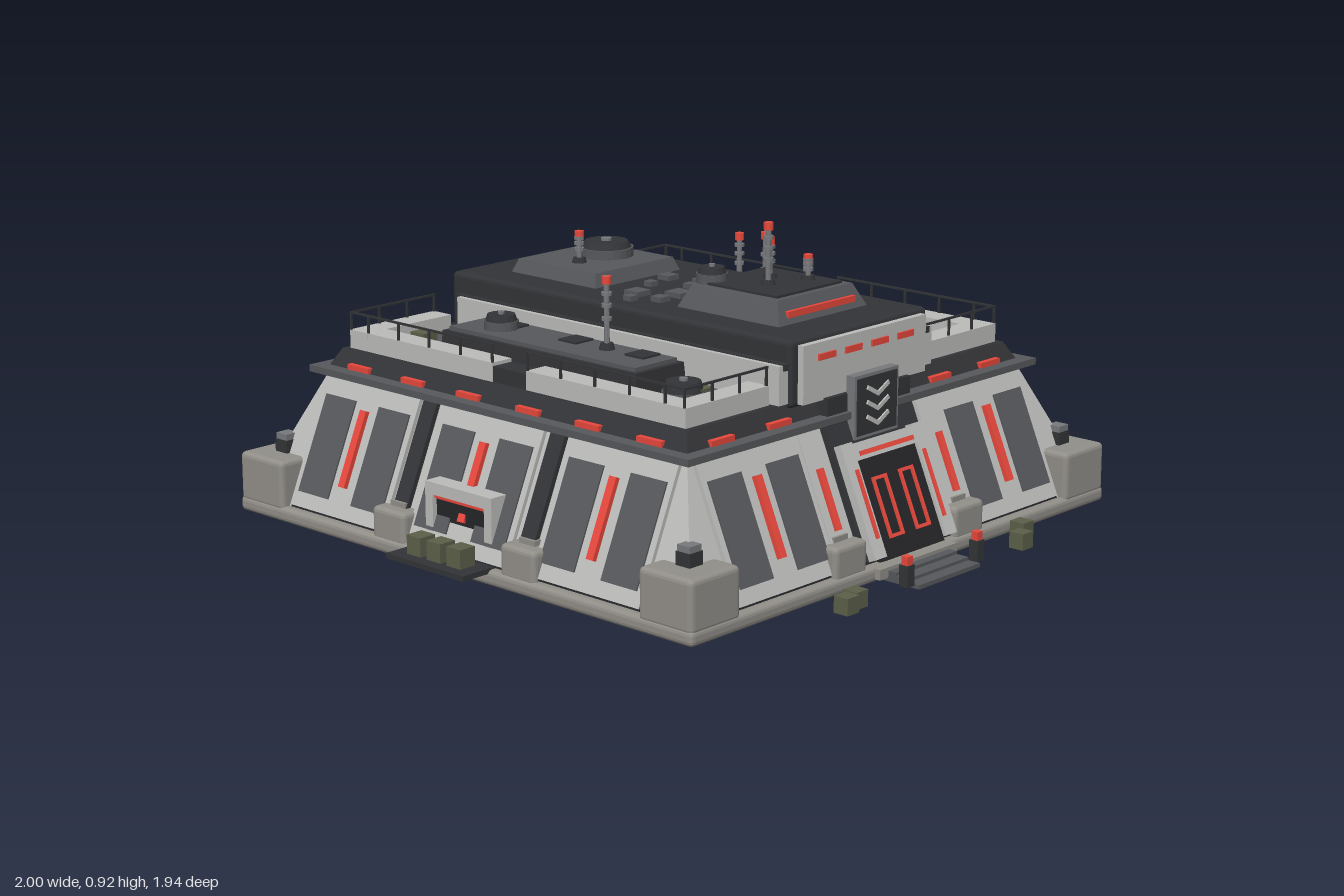
import * as THREE from 'three';
import { RoundedBoxGeometry } from 'three/addons/geometries/RoundedBoxGeometry.js';

const mat = (color) => new THREE.MeshStandardMaterial({ color, flatShading: true });
const white = mat(0xbcbcba), stone = mat(0x928f89), dark = mat(0x333437), black = mat(0x242528);
const mid = mat(0x56585c), red = mat(0xe8483c), olive = mat(0x5c6049), metal = mat(0x77797c);
const CZ = -0.065; // centre of the building in z

function add(parent, name, geo, material, x, y, z) {
  const m = new THREE.Mesh(geo, material);
  m.name = name;
  m.position.set(x, y, z);
  parent.add(m);
  return m;
}
// box given by its centre in x and z and its bottom in y
const box = (p, name, m, w, h, d, x, y, z) => add(p, name, new THREE.BoxGeometry(w, h, d), m, x, y + h / 2, z);
const soft = (p, name, m, w, h, d, x, y, z) =>
  add(p, name, new RoundedBoxGeometry(w, h, d, 2, 0.015), m, x, y + h / 2, z);
// box whose top is smaller than its bottom
function taper(p, name, m, w, h, d, w1, d1, x, y, z) {
  const g = new THREE.BoxGeometry(w, h, d), a = g.attributes.position;
  for (let i = 0; i < a.count; i++)
    if (a.getY(i) > 0) a.setXYZ(i, a.getX(i) * w1 / w, a.getY(i), a.getZ(i) * d1 / d);
  g.computeVertexNormals();
  return add(p, name, g, m, x, y + h / 2, z);
}
const cyl = (p, name, m, r0, r1, h, x, y, z, n = 20) =>
  add(p, name, new THREE.CylinderGeometry(r1, r0, h, n), m, x, y + h / 2, z);

// one sloping wall, drawn in the plane of the slope (y runs up the slope, z outward)
const TILT = Math.atan(0.17 / 0.39), K = 1 / Math.cos(TILT);
function wallPlane(parent) {
  const g = new THREE.Group();
  g.name = 'wallFace';
  g.position.set(0, 0.04, 0.88);
  g.rotation.x = -TILT;
  parent.add(g);
  // plate between two true heights
  return (name, m, x, w, y0, y1, z0, z1) =>
    box(g, name, m, w, (y1 - y0) * K, z1 - z0, x, (y0 - 0.04) * K, (z0 + z1) / 2);
}
function bay(plate, x) {
  plate('bayPanel', white, x, 0.4, 0.05, 0.41, -0.01, 0.012);
  for (const s of [-1, 1]) plate('bayInset', mid, x + s * 0.115, 0.13, 0.09, 0.36, 0, 0.017);
  plate('bayLight', red, x, 0.026, 0.13, 0.34, 0, 0.026);
}

function buildSide(parent, kind) {
  const side = new THREE.Group();
  side.name = kind + 'Side';
  parent.add(side);
  const plate = wallPlane(side);
  bay(plate, -0.5);
  bay(plate, 0.5);
  if (kind !== 'front') bay(plate, 0);
  plate('wallFoot', black, 0, 1.4, 0.045, 0.085, -0.01, 0.008);
  for (const s of [-1, 1]) {
    if (kind === 'front') {
      plate('frontPier', white, s * 0.255, 0.09, 0.05, 0.42, -0.01, 0.016);
      plate('pierLight', red, s * 0.26, 0.022, 0.15, 0.31, 0, 0.026);
    } else plate('wallPier', dark, s * 0.255, 0.055, 0.05, 0.42, -0.01, 0.015);
    soft(side, 'footBlock', stone, 0.135, 0.1, 0.09, s * 0.26, 0.03, 0.855);
    box(side, 'footBlockCap', stone, 0.06, 0.03, 0.06, s * 0.26, 0.115, 0.83);
  }
  // light dashes around the cornice
  for (const x of [-0.58, -0.35, -0.12, 0.12, 0.35, 0.58])
    if (kind !== 'front' || Math.abs(x) > 0.2) box(side, 'corniceLight', red, 0.09, 0.016, 0.02, x, 0.441, 0.71);

  if (kind === 'front') buildEntrance(side, plate);
  if (kind === 'left' || kind === 'right') buildHatch(side);
}

function buildEntrance(side, plate) {
  plate('doorSurround', dark, 0, 0.38, 0.05, 0.43, -0.01, 0.02);
  for (const s of [-1, 1]) {
    plate('doorPost', white, s * 0.155, 0.05, 0.05, 0.35, 0, 0.045);
    plate('doorPostLight', red, s * 0.147, 0.012, 0.1, 0.28, 0, 0.05);
    for (const e of [-1, 1]) plate('doorFrameLine', red, s * 0.058 + e * 0.026, 0.009, 0.09, 0.25, 0, 0.042);
    for (const y of [0.09, 0.241]) plate('doorFrameLine', red, s * 0.058, 0.06, y, y + 0.009, 0, 0.042);
    box(side, 'bollard', dark, 0.03, 0.06, 0.03, s * 0.155, 0.01, 1.005);
    box(side, 'bollardLight', red, 0.022, 0.025, 0.022, s * 0.155, 0.07, 1.005);
  }
  plate('doorLintel', white, 0, 0.36, 0.3, 0.345, 0, 0.045);
  plate('lintelLight', red, 0, 0.23, 0.31, 0.322, 0, 0.052);
  plate('door', black, 0, 0.26, 0.04, 0.3, 0, 0.035);
  box(side, 'porch', stone, 0.34, 0.03, 0.1, 0, 0.01, 0.875);
  for (let i = 0; i < 3; i++) box(side, 'step', mid, 0.27, 0.03 - i * 0.009, 0.045, 0, 0, 0.93 + i * 0.04);
  // sign board over the door, with downward chevrons
  box(side, 'signBacking', dark, 0.36, 0.13, 0.1, 0, 0.36, 0.69);
  box(side, 'signFrame', metal, 0.19, 0.18, 0.03, 0, 0.36, 0.75);
  box(side, 'signBoard', dark, 0.172, 0.162, 0.032, 0, 0.369, 0.752);
  for (let i = 0; i < 3; i++) for (const s of [-1, 1])
    box(side, 'signChevron', white, 0.055, 0.012, 0.006, s * 0.022, 0.4 + i * 0.042, 0.77).rotation.z = s * 0.5;
}

function buildHatch(side) {
  for (const s of [-1, 1]) box(side, 'hatchPost', white, 0.03, 0.185, 0.15, s * 0.118, 0.05, 0.795);
  box(side, 'hatchLintel', white, 0.266, 0.035, 0.15, 0, 0.2, 0.795);
  box(side, 'hatchDoor', black, 0.21, 0.15, 0.1, 0, 0.05, 0.805);
  box(side, 'hatchLight', red, 0.2, 0.01, 0.02, 0, 0.19, 0.855);
  box(side, 'loadingPlatform', dark, 0.31, 0.015, 0.14, 0, 0.035, 0.93);
  for (const x of [-0.08, 0, 0.08]) box(side, 'crate', olive, 0.055, 0.055, 0.055, x, 0.05, 0.937);
}

function antenna(p, x, y, z, top) {
  const g = new THREE.Group(), h = top - y;
  g.name = 'antenna';
  g.position.set(x, y, z);
  p.add(g);
  cyl(g, 'antennaFoot', dark, 0.024, 0.018, 0.02, 0, 0, 0, 12);
  cyl(g, 'antennaMast', metal, 0.008, 0.008, h, 0, 0, 0, 8);
  for (const t of [0.4, 0.58, 0.74]) cyl(g, 'antennaRing', metal, 0.015, 0.015, 0.01, 0, h * t, 0, 10);
  cyl(g, 'antennaLamp', red, 0.014, 0.014, 0.022, 0, h - 0.022, 0, 10);
}
function vent(p, r, x, y, z, h) {
  cyl(p, 'ventBase', mid, r, r, h * 0.6, x, y, z, 24);
  cyl(p, 'ventTop', dark, r * 0.92, r * 0.8, h * 0.4, x, y + h * 0.6, z, 24);
  cyl(p, 'ventHub', metal, r * 0.2, r * 0.2, 0.008, x, y + h, z, 12);
}

function buildTerrace(b, s) {
  // low parapet in a bracket shape with a gap in the middle
  for (const e of [-1, 1]) {
    box(b, 'parapetSide', white, 0.075, 0.055, 0.6, s * 0.632, 0.49, e * 0.367);
    box(b, 'parapetEnd', white, 0.33, 0.055, 0.075, s * 0.505, 0.49, e * 0.63);
    box(b, 'railEnd', dark, 0.33, 0.006, 0.006, s * 0.505, 0.593, e * 0.662);
    for (let i = 0; i < 4; i++) box(b, 'railPost', dark, 0.006, 0.05, 0.006, s * (0.345 + i * 0.108), 0.545, e * 0.662);
    for (let i = 0; i < 5; i++) box(b, 'railPost', dark, 0.006, 0.05, 0.006, s * 0.666, 0.545, e * (0.07 + i * 0.13));
    box(b, 'railSide', dark, 0.006, 0.006, 0.6, s * 0.666, 0.593, e * 0.364);
  }
  box(b, 'parapetGap', dark, 0.07, 0.045, 0.14, s * 0.632, 0.49, 0);
  box(b, 'terraceFloor', mid, 0.28, 0.012, 1.2, s * 0.46, 0.488, 0);
  taper(b, 'terracePlinth', dark, 0.2, 0.075, 0.78, 0.19, 0.77, s * 0.468, 0.495, 0);
  box(b, 'terracePlate', mid, 0.165, 0.015, 0.74, s * 0.468, 0.567, 0);
  for (const z of [-0.235, 0.025, 0.285]) box(b, 'terraceHatch', dark, 0.07, 0.01, 0.07, s * 0.432, 0.578, z);
  vent(b, 0.05, s * 0.47, 0.58, s * 0.238, 0.045);
  vent(b, 0.06, s * 0.525, 0.5, -s * 0.525, 0.07);
}

function buildUpperBlock(b) {
  soft(b, 'upperBlock', dark, 0.59, 0.19, 1.34, 0, 0.475, 0.035);
  for (const s of [-1, 1]) {
    box(b, 'upperSkirt', white, 0.04, 0.11, 1.27, s * 0.31, 0.49, 0.06);
    box(b, 'upperSkirtRail', dark, 0.02, 0.018, 1.3, s * 0.305, 0.585, 0.05);
  }
  box(b, 'upperFront', white, 0.53, 0.165, 0.03, 0, 0.485, 0.71);
  for (const x of [-0.17, -0.057, 0.057, 0.17]) {
    box(b, 'upperFrontLight', red, 0.07, 0.018, 0.01, x, 0.6, 0.726);
    box(b, 'upperBackLight', red, 0.07, 0.018, 0.014, x, 0.6, -0.638);
  }
  // raised plates on the top
  taper(b, 'frontRoofPlate', mid, 0.38, 0.065, 0.38, 0.32, 0.32, 0, 0.665, 0.38);
  box(b, 'frontRoofTop', dark, 0.28, 0.01, 0.28, 0, 0.727, 0.38);
  box(b, 'frontRoofLight', red, 0.29, 0.018, 0.02, 0, 0.682, 0.556);
  taper(b, 'rearRoofPlate', mid, 0.36, 0.04, 0.35, 0.33, 0.32, 0, 0.665, -0.32);
  box(b, 'rearRoofLight', red, 0.27, 0.015, 0.02, 0, 0.675, -0.49);
  vent(b, 0.082, 0.05, 0.705, -0.325, 0.045);
  vent(b, 0.045, -0.1, 0.73, 0.24, 0.045);
  // small equipment boxes: x, z, size
  for (const [x, z, w] of [[-0.22, 0.035, 0.03], [-0.155, 0, 0.055], [-0.17, 0.105, 0.04], [-0.085, 0.1, 0.06],
    [-0.04, -0.055, 0.03], [0.06, -0.08, 0.045], [0.085, 0.035, 0.045], [0.015, 0.05, 0.03], [0.02, 0.115, 0.04],
    [0.225, 0.125, 0.06]]) box(b, 'roofBox', mid, w, 0.02, w, x, 0.66, z);
  antenna(b, -0.04, 0.73, 0.4, 0.915);
  antenna(b, 0.03, 0.73, 0.345, 0.855);
  antenna(b, 0.085, 0.73, 0.44, 0.81);
  antenna(b, -0.08, 0.7, -0.31, 0.8);
}

export function createModel() {
  const model = new THREE.Group();
  model.name = 'fortifiedBase';
  const b = new THREE.Group();
  b.name = 'building';
  b.position.z = CZ;
  model.add(b);

  // foundation, sloping body and cornice
  soft(b, 'foundation', stone, 1.815, 0.045, 1.815, 0, 0, 0);
  taper(b, 'body', white, 1.76, 0.39, 1.76, 1.42, 1.42, 0, 0.04, 0);
  box(b, 'cornice', mid, 1.51, 0.02, 1.51, 0, 0.42, 0);
  taper(b, 'corniceStep', dark, 1.43, 0.055, 1.43, 1.37, 1.37, 0, 0.435, 0);

  ['front', 'left', 'back', 'right'].forEach((kind, i) => {
    const turn = new THREE.Group();
    turn.name = kind + 'Turn';
    turn.rotation.y = i * Math.PI / 2;
    b.add(turn);
    buildSide(turn, kind);
    // corner block on the foundation
    soft(turn, 'cornerBlock', stone, 0.19, 0.15, 0.19, 0.81, 0.03, 0.81);
    box(turn, 'cornerLampBase', dark, 0.05, 0.04, 0.05, 0.805, 0.178, 0.805);
    box(turn, 'cornerLamp', metal, 0.045, 0.02, 0.045, 0.805, 0.216, 0.805);
  });

  for (const s of [-1, 1]) buildTerrace(b, s);
  buildUpperBlock(b);
  antenna(b, -0.445, 0.58, 0.16, 0.79);
  antenna(b, 0.34, 0.5, 0.055, 0.785);
  antenna(b, 0.425, 0.58, -0.125, 0.745);
  box(b, 'terraceCrate', olive, 0.055, 0.05, 0.055, -0.555, 0.5, -0.475);
  box(b, 'terraceCrate', olive, 0.055, 0.05, 0.055, -0.49, 0.5, 0.55);

  // crates lying in front: x, y, z
  for (const [x, y, z] of [[0.36, 0, 0.942], [0.405, 0.015, 0.91], [-0.36, 0, 0.93], [-0.415, 0, 0.945]])
    box(model, 'groundCrate', olive, 0.048, 0.048, 0.048, x, y, z);
  return model;
}
